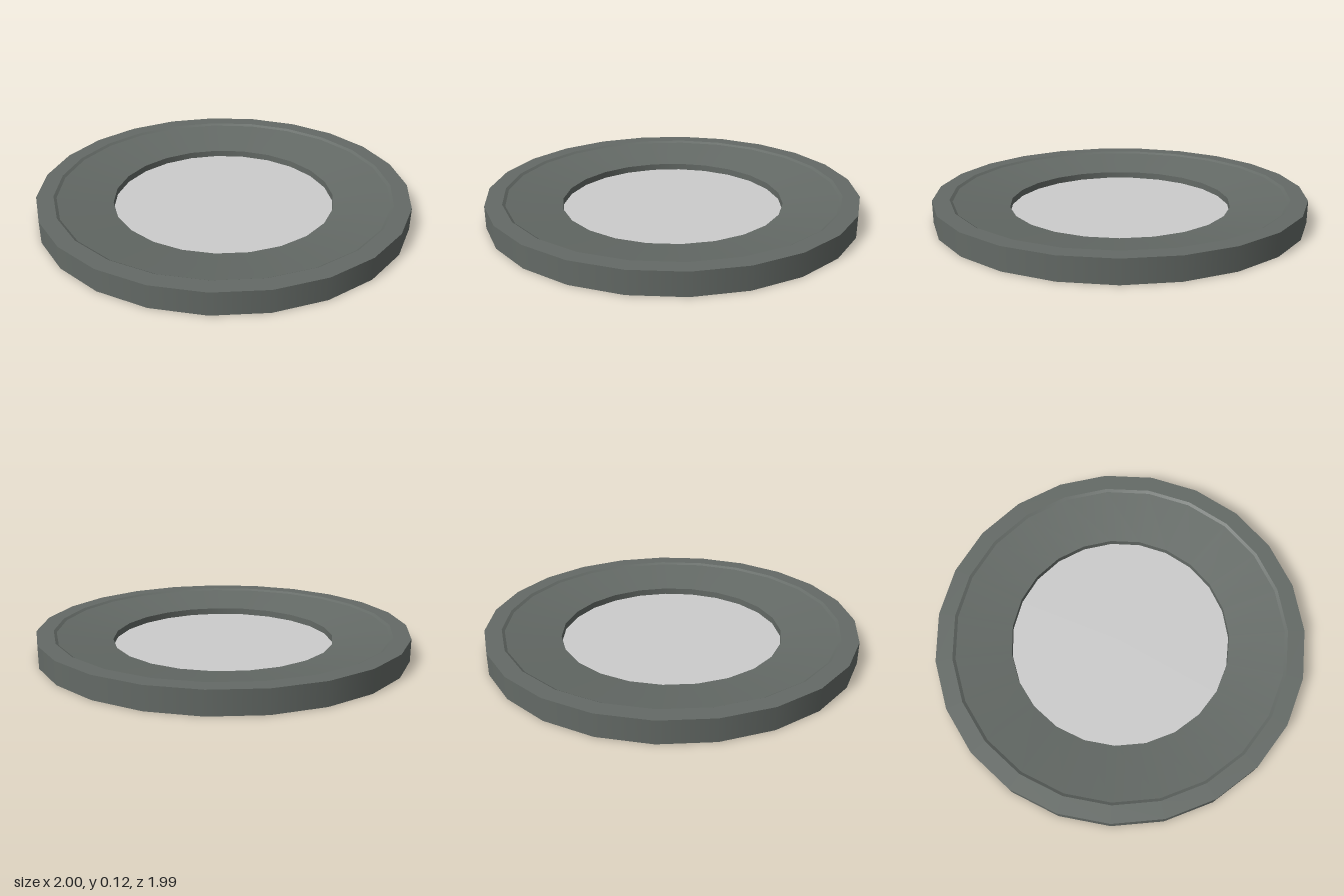
import * as THREE from 'three';

const SIDES = 23;

export function createModel() {
  const model = new THREE.Group();
  const frame = new THREE.MeshStandardMaterial({ color: 0x646a66, side: THREE.DoubleSide });
  const grey = new THREE.MeshStandardMaterial({ color: 0xcccccc, side: THREE.DoubleSide });

  // One band of the profile, smooth around the ring with hard edges to its neighbours
  function band(name, r0, y0, r1, y1) {
    const points = [new THREE.Vector2(r0, y0), new THREE.Vector2(r1, y1)];
    const mesh = new THREE.Mesh(new THREE.LatheGeometry(points, SIDES, Math.PI), frame);
    mesh.name = name;
    mesh.position.z = 0.005;
    model.add(mesh);
  }

  band('outerWall', 1.002, 0, 1.002, 0.12);
  band('topRim', 1.002, 0.12, 0.912, 0.12);
  band('rimStep', 0.912, 0.12, 0.897, 0.11);
  band('slopedRing', 0.897, 0.11, 0.6, 0.06);
  band('innerWall', 0.6, 0.06, 0.6, 0.024);

  // Flat disc closing the middle, one corner towards the back
  const disc = new THREE.Mesh(new THREE.CircleGeometry(0.6, SIDES, Math.PI / 2), grey);
  disc.name = 'centreDisc';
  disc.rotation.x = -Math.PI / 2;
  disc.position.set(0, 0.024, 0.005);
  model.add(disc);

  return model;
}
